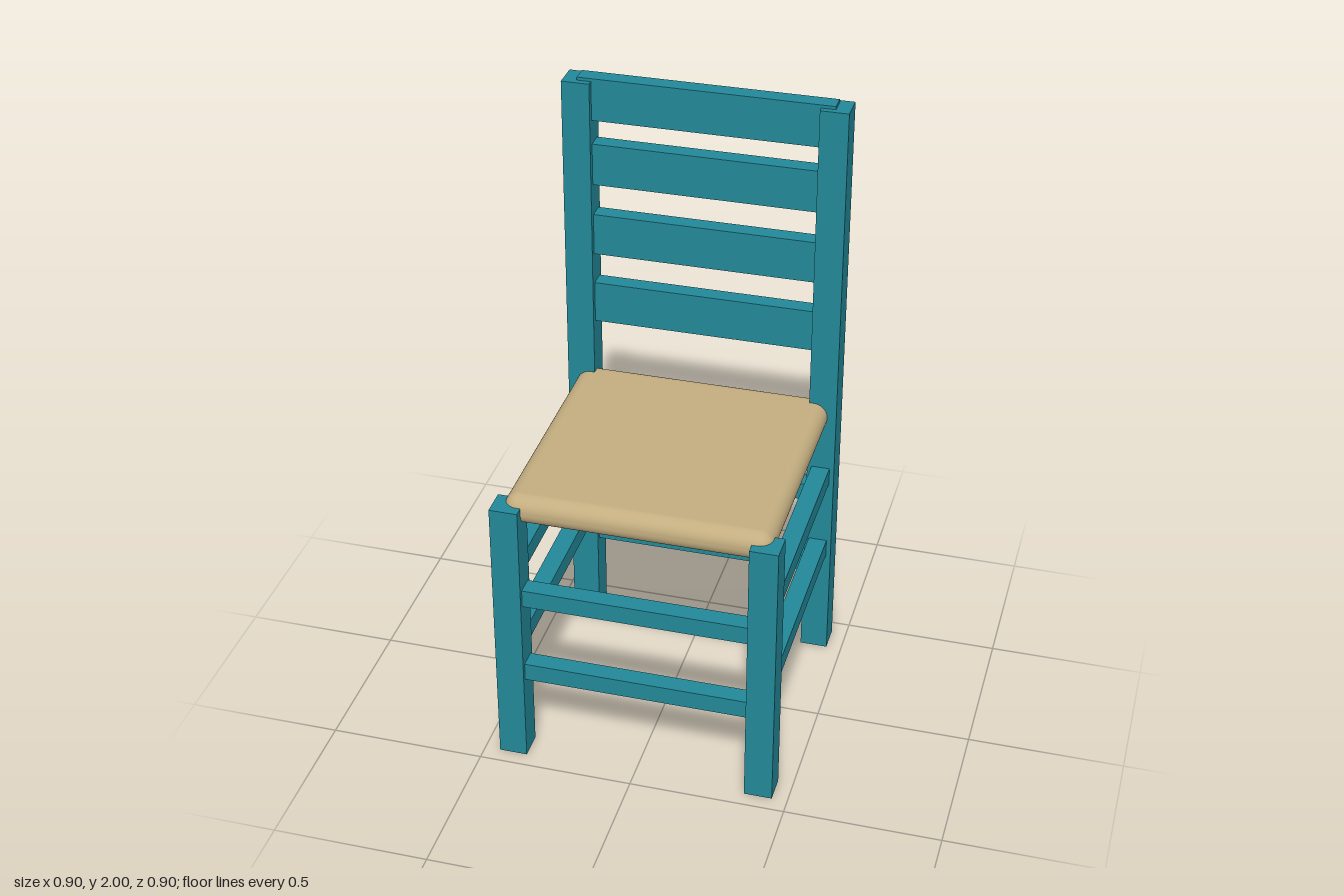
import * as THREE from 'three';
import { RoundedBoxGeometry } from 'three/addons/geometries/RoundedBoxGeometry.js';

const paint = new THREE.MeshStandardMaterial({ color: 0x238898 });
paint.name = 'tealPaint';
const rush = new THREE.MeshStandardMaterial({ color: 0xc4ae80 });
rush.name = 'tanSeat';

const POST = 0.405;   // distance of each post's axis from the centre
const THICK = 0.09;   // post thickness
const RAIL = 0.06;    // rail thickness

export function createModel() {
  const chair = new THREE.Group();
  chair.name = 'ladderBackChair';

  const bar = (name, size, pos) => {
    const mesh = new THREE.Mesh(new THREE.BoxGeometry(...size), paint);
    mesh.name = name;
    mesh.position.set(...pos);
    chair.add(mesh);
  };

  for (const s of [1, -1]) {
    const side = s > 0 ? 'left' : 'right';
    // Short front legs and tall back posts
    bar(`${side}FrontLeg`, [THICK, 0.935, THICK], [s * POST, 0.4675, POST]);
    bar(`${side}BackPost`, [THICK, 1.99, THICK], [s * POST, 0.995, -POST]);

    // Side rails sit higher than the front and back rails
    for (const y of [0.41, 0.695]) {
      bar(`${side}SideRail`, [RAIL, RAIL, 2 * POST], [s * POST, y, 0]);
    }
    for (const y of [0.325, 0.61]) {
      bar(s > 0 ? 'frontRail' : 'backRail', [2 * POST, RAIL, RAIL], [0, y, s * POST]);
    }
  }

  // Ladder back
  for (const y of [1.22, 1.465, 1.71, 1.93]) {
    bar('backSlat', [2 * POST, 0.14, 0.055], [0, y, -0.4075]);
  }

  // Rounded seat pad
  const seat = new THREE.Mesh(new RoundedBoxGeometry(0.84, 0.098, 0.84, 6, 0.046), rush);
  seat.name = 'seat';
  seat.position.y = 0.917;
  chair.add(seat);

  return chair;
}
